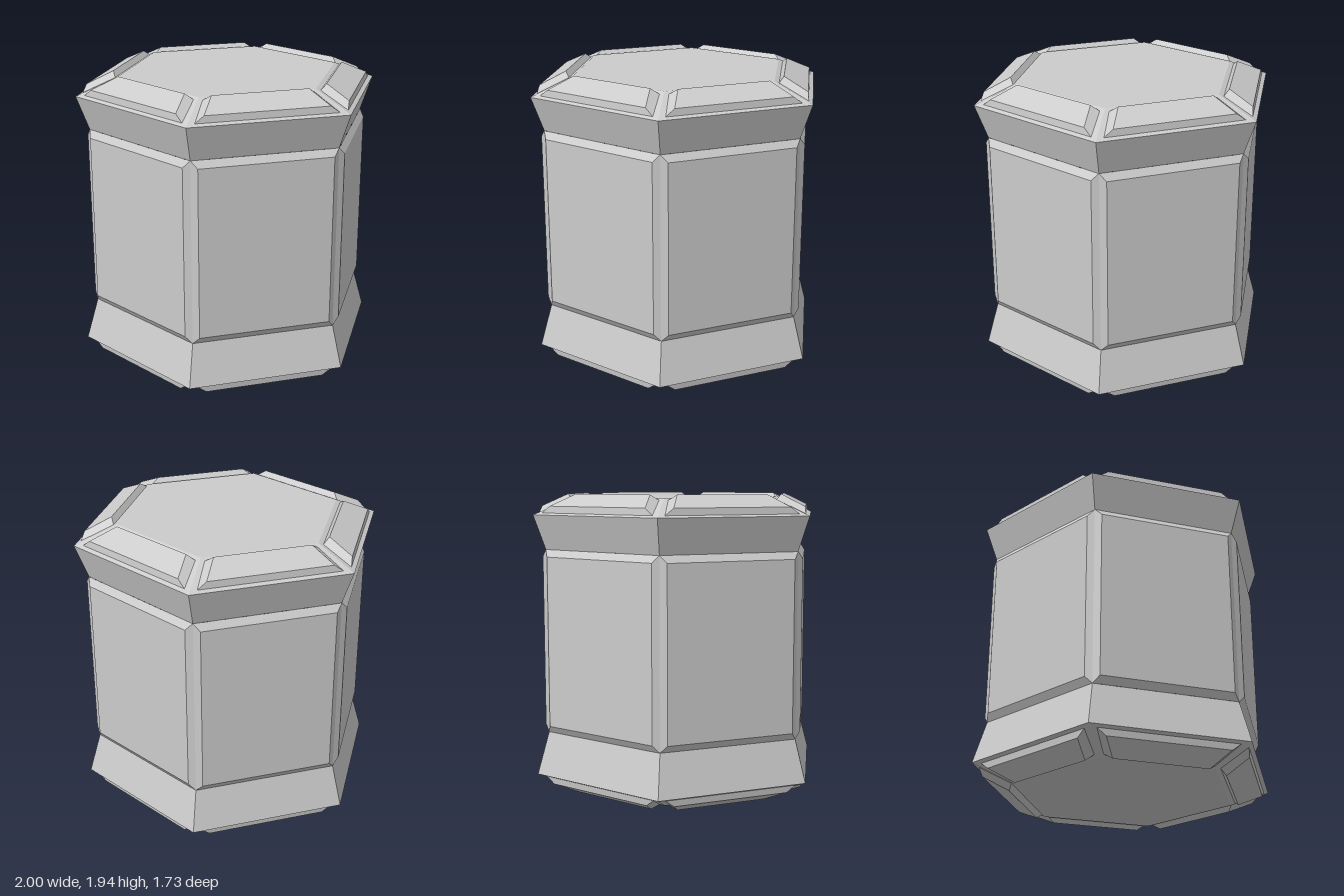
import * as THREE from 'three';

const material = new THREE.MeshStandardMaterial({ color: 0xcccccc, flatShading: true });
const HEIGHT = 1.94;

function mesh(geometry, name) {
  const m = new THREE.Mesh(geometry, material);
  m.name = name;
  return m;
}

// Convex faces, each a counter-clockwise list of corners, as flat triangles
function facesGeometry(faces) {
  const positions = [];
  for (const f of faces)
    for (let i = 1; i < f.length - 1; i++) positions.push(...f[0], ...f[i], ...f[i + 1]);
  const g = new THREE.BufferGeometry();
  g.setAttribute('position', new THREE.Float32BufferAttribute(positions, 3));
  g.computeVertexNormals();
  return g;
}

// Six-sided shell from a [radius, y] profile, with a flat side facing +z
function hexShell(profile, name) {
  const points = profile.map(([r, y]) => new THREE.Vector2(r, y));
  const g = new THREE.LatheGeometry(points, 6, Math.PI / 6).toNonIndexed();
  g.computeVertexNormals();
  return mesh(g, name);
}

// Six copies of a part made for the +z side
function ringOfSix(geometry, name) {
  const ring = new THREE.Group();
  ring.name = name + 's';
  for (let i = 0; i < 6; i++) {
    const m = mesh(geometry, name);
    m.rotation.y = (i * Math.PI) / 3;
    ring.add(m);
  }
  return ring;
}

// Raised wall panel with bevelled top and bottom, plus the corner strip on its right
function wallGeometry() {
  const [y0, y1, y2, y3] = [0.405, 0.45, 1.545, 1.59];
  const tip = (s, y) => [s * 0.46, y, 0.797];
  const edge = (s, y) => [s * 0.423, y, 0.826];
  const next = (y) => [0.504, y, 0.779];
  return facesGeometry([
    [edge(-1, y1), edge(1, y1), edge(1, y2), edge(-1, y2)],
    [edge(-1, y2), edge(1, y2), tip(1, y3), tip(-1, y3)],
    [tip(-1, y0), tip(1, y0), edge(1, y1), edge(-1, y1)],
    [tip(1, y0), next(y1), next(y2), tip(1, y3), edge(1, y2), edge(1, y1)],
  ]);
}

// Sloping raised block that sits on the rim of an end cap
function capBlockGeometry() {
  const a = [-0.445, 1.82, 0.84], b = [0.445, 1.82, 0.84];
  const c = [0.35, 1.905, 0.653], d = [-0.35, 1.905, 0.653];
  const e = [-0.385, 1.865, 0.835], f = [0.385, 1.865, 0.835];
  const g = [0.3, HEIGHT, 0.683], h = [-0.3, HEIGHT, 0.683];
  return facesGeometry([
    [e, f, g, h],
    [a, b, f, e],
    [b, c, g, f],
    [c, d, h, g],
    [d, a, e, h],
  ]);
}

// End cap: sloping rim, flat centre and six blocks
function endCap(name) {
  const cap = new THREE.Group();
  cap.name = name;
  cap.add(hexShell([[1, 1.81], [0.725, 1.92], [0, 1.92]], 'capPlate'));
  cap.add(ringOfSix(capBlockGeometry(), 'capBlock'));
  return cap;
}

export function createModel() {
  const model = new THREE.Group();
  model.name = 'hexagonalContainer';

  model.add(ringOfSix(wallGeometry(), 'wallPanel'));

  // Flared bands above and below the walls
  model.add(hexShell([[0.92, 1.59], [1, 1.81]], 'upperBand'));
  model.add(hexShell([[1, 0.13], [0.92, 0.405]], 'lowerBand'));

  // The bottom cap is the top cap turned over
  model.add(endCap('topCap'));
  const bottom = endCap('bottomCap');
  bottom.rotation.x = Math.PI;
  bottom.position.y = HEIGHT;
  model.add(bottom);

  return model;
}
